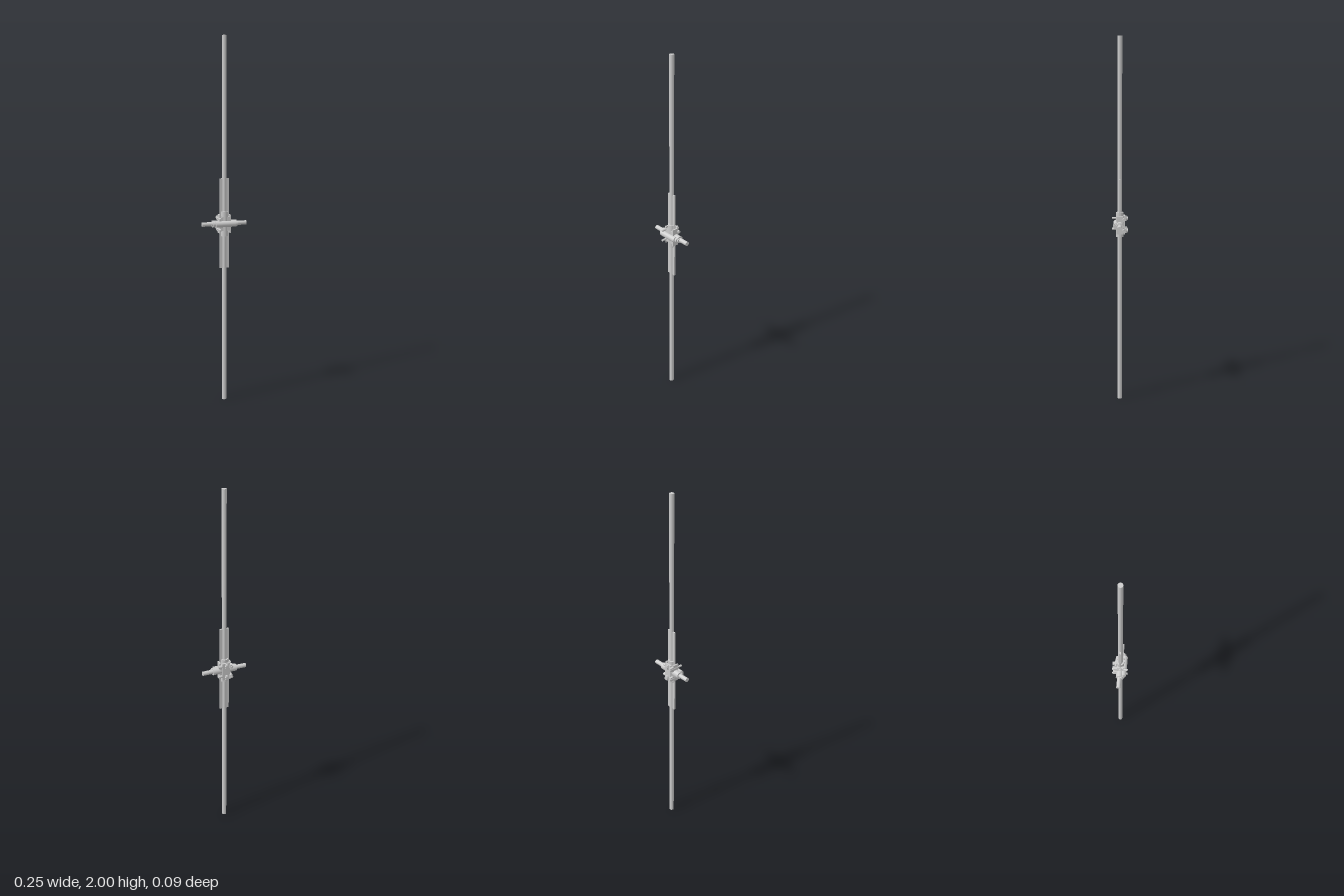
import * as THREE from 'three';

const material = new THREE.MeshStandardMaterial({ color: 0xcccccc });
const CY = 1.002; // height of the cross joint

export function createModel() {
  const model = new THREE.Group();

  const add = (name, geometry, x, y, z) => {
    const mesh = new THREE.Mesh(geometry, material);
    mesh.name = name;
    mesh.position.set(x, y, z);
    model.add(mesh);
    return mesh;
  };
  const box = (name, w, h, d, x, y, z) => add(name, new THREE.BoxGeometry(w, h, d), x, y, z);
  const rod = (name, r, length, axis, x, y, z, sides = 32) => {
    const geometry = new THREE.CylinderGeometry(r, r, length, sides);
    if (axis === 'x') geometry.rotateZ(Math.PI / 2);
    if (axis === 'z') geometry.rotateX(Math.PI / 2);
    return add(name, geometry, x, y, z);
  };

  // Long upright pole and short cross bar
  rod('pole', 0.0125, 2, 'y', 0, 1, 0);
  rod('crossBar', 0.0118, 0.252, 'x', 0, CY, 0);

  // Thin fins on both sides of the pole
  for (const s of [-1, 1]) {
    box('fin', 0.016, 0.492, 0.008, s * 0.018, 1.003, 0);
  }

  // Sleeve around the cross bar, stepped towards the front
  rod('crossSleeve', 0.0195, 0.136, 'x', 0, CY, 0);
  rod('sleeveOuterStep', 0.0125, 0.148, 'x', 0, CY, 0.008);
  rod('sleeveMiddleStep', 0.0145, 0.132, 'x', 0, CY, 0.013);
  rod('sleeveFrontStep', 0.0165, 0.11, 'x', 0, CY, 0.0195);

  // Collar around the pole: a tube with an open bore
  const ring = new THREE.Shape().absarc(0, 0, 0.0205, 0, Math.PI * 2);
  ring.holes.push(new THREE.Path().absarc(0, 0, 0.0125, 0, Math.PI * 2, true));
  const collar = new THREE.ExtrudeGeometry(ring, { depth: 0.135, bevelEnabled: false, curveSegments: 24 });
  collar.translate(0, 0, -0.0675).rotateX(-Math.PI / 2);
  add('poleCollar', collar, 0, CY, 0);

  // Clamp block, back plate and the two lower-profile side cheeks
  box('clampBlock', 0.056, 0.076, 0.036, 0, CY, 0);
  box('backPlate', 0.044, 0.1, 0.01, 0, CY, -0.024);
  for (const s of [-1, 1]) {
    box('clampCheek', 0.008, 0.1, 0.034, s * 0.029, CY, 0.001);
    // Ear and screw above and below the cross bar
    box('clampEar', 0.014, 0.022, 0.05, -0.027, CY + s * 0.03, -0.013);
    rod('earScrew', 0.006, 0.084, 'z', -0.03, CY + s * 0.03, 0, 16);
    // Rounded lug beside the back plate
    rod('rearLug', 0.008, 0.03, 'x', 0.026, CY + s * 0.03, -0.019, 20);
    // Hinge knuckle and bolt head at the back
    rod('hingeKnuckle', 0.0075, 0.026, 'y', 0, CY + s * 0.034, -0.03, 20);
    rod('boltHead', 0.0105, 0.008, 'z', 0, CY + s * 0.034, -0.039, 6);
  }

  return model;
}
